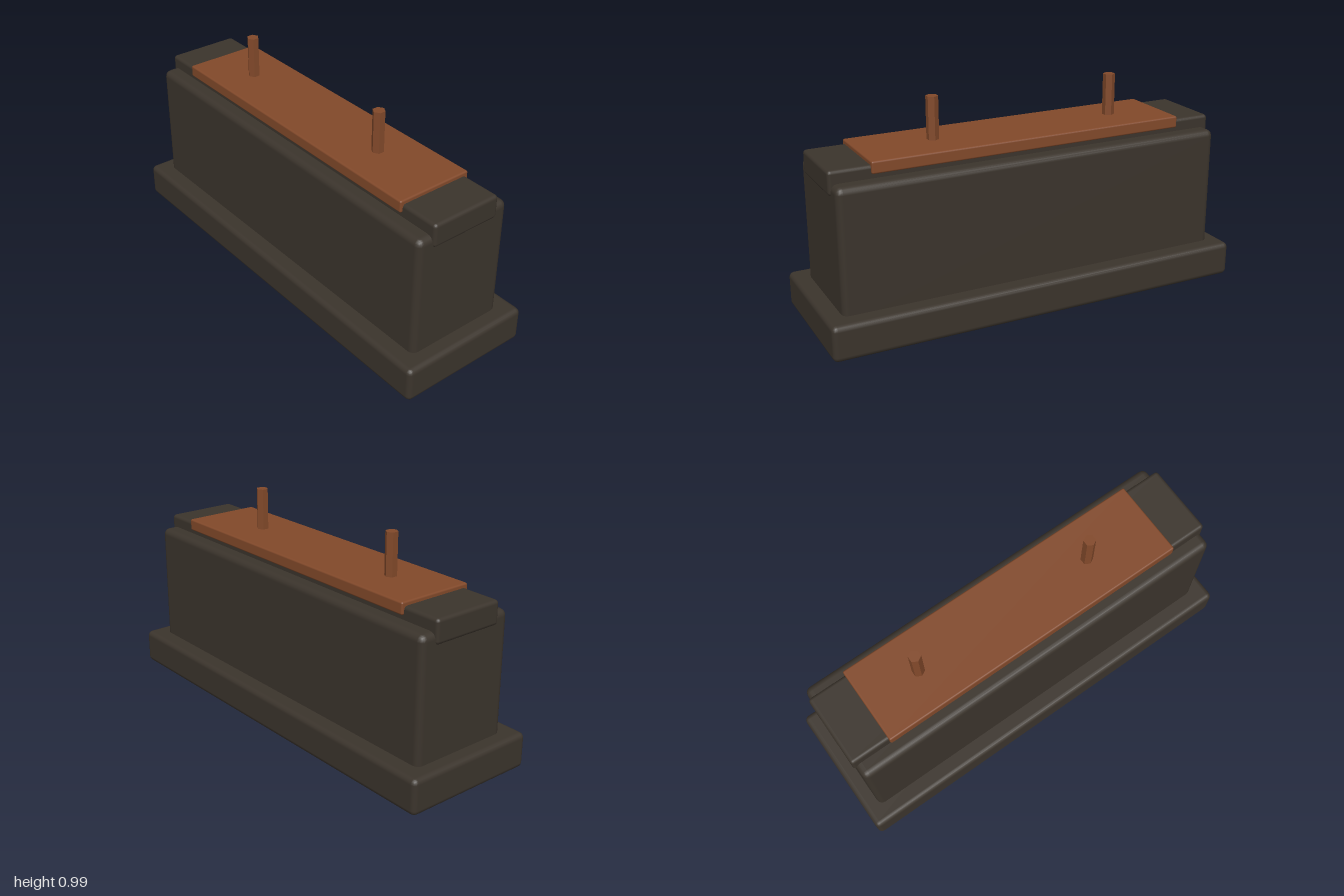
import * as THREE from 'three';
import { RoundedBoxGeometry } from 'three/addons/geometries/RoundedBoxGeometry.js';

export function createModel() {
  const model = new THREE.Group();
  const dark = new THREE.MeshStandardMaterial({ color: 0x3b342c });
  const copper = new THREE.MeshStandardMaterial({ color: 0x82492a });
  const copperFlat = new THREE.MeshStandardMaterial({ color: 0x82492a, flatShading: true });

  // Box with softened edges, spanning y0 to y1
  function block(name, width, depth, y0, y1, radius, material, x = 0) {
    const geometry = new RoundedBoxGeometry(width, y1 - y0, depth, 2, radius);
    const mesh = new THREE.Mesh(geometry, material);
    mesh.name = name;
    mesh.position.set(x, (y0 + y1) / 2, 0);
    model.add(mesh);
  }

  // Stacked body
  block('base', 2, 0.65, 0, 0.163, 0.024, dark);
  block('body', 1.855, 0.486, 0.1, 0.722, 0.03, dark, -0.002);
  block('topCap', 1.876, 0.346, 0.67, 0.779, 0.016, dark, -0.002);
  block('topPlate', 1.506, 0.37, 0.742, 0.797, 0.008, copper, -0.002);

  // Six-sided upright pins
  for (const [name, x] of [['rightPin', -0.49], ['leftPin', 0.403]]) {
    const pin = new THREE.Mesh(new THREE.CylinderGeometry(0.028, 0.028, 0.22, 6), copperFlat);
    pin.name = name;
    pin.position.set(x, 0.881, 0.001);
    model.add(pin);
  }
  return model;
}
